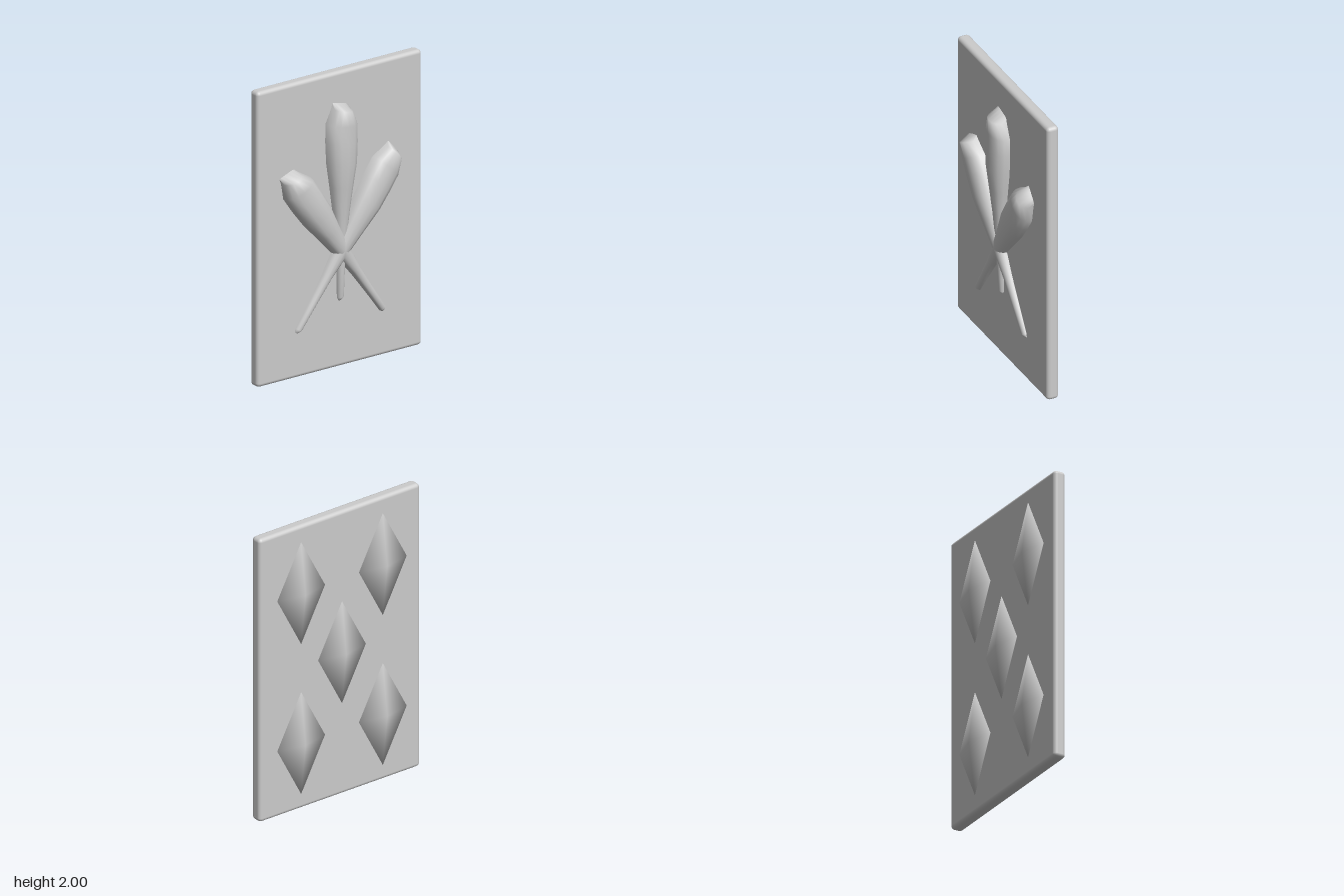
import * as THREE from 'three';
import { mergeVertices } from 'three/addons/utils/BufferGeometryUtils.js';
import { RoundedBoxGeometry } from 'three/addons/geometries/RoundedBoxGeometry.js';

const material = new THREE.MeshStandardMaterial({ color: 0xcccccc });

function addMesh(group, name, geometry, x, y, z) {
  const mesh = new THREE.Mesh(geometry, material);
  mesh.name = name;
  mesh.position.set(x, y, z);
  group.add(mesh);
  return mesh;
}

// Half-round club lofted along +y; each ring is [distance, half width, height].
function clubGeometry() {
  const rings = [
    [0, 0.014, 0.012], [0.025, 0.026, 0.034], [0.2, 0.03, 0.043], [0.4, 0.038, 0.053],
    [0.6, 0.06, 0.07], [0.78, 0.085, 0.09], [0.94, 0.11, 0.108], [1.08, 0.118, 0.108],
    [1.2, 0.117, 0.108], [1.3, 0.07, 0.106], [1.34, 0.06, 0],
  ];
  const segments = 8;
  const positions = [];
  const indices = [];
  rings.forEach(([s, w, h], i) => {
    const skew = 0.23 * (s / 1.34) ** 4; // slanted head
    for (let k = 0; k <= segments; k++) {
      const a = Math.PI * k / segments;
      const c = Math.cos(a);
      const u = -w * Math.sign(c) * Math.abs(c) ** 0.85;
      const v = h * Math.max(0, Math.sin(a)) ** 0.85;
      positions.push(u, s - skew * u, v);
      if (i < rings.length - 1 && k < segments) {
        const p = i * (segments + 1) + k;
        const q = p + segments + 1;
        indices.push(p, p + 1, q, p + 1, q + 1, q);
      }
    }
  });
  const geometry = new THREE.BufferGeometry();
  geometry.setAttribute('position', new THREE.Float32BufferAttribute(positions, 3));
  geometry.setIndex(indices);
  geometry.computeVertexNormals();
  return geometry;
}

// Shallow four-sided pyramid pointing to -z, with shared smooth normals.
function diamondGeometry() {
  const cone = new THREE.ConeGeometry(1, 1, 4);
  cone.deleteAttribute('normal');
  cone.deleteAttribute('uv');
  cone.rotateX(-Math.PI / 2).scale(0.193, 0.36, 0.046);
  const geometry = mergeVertices(cone);
  geometry.computeVertexNormals();
  return geometry;
}

export function createModel() {
  const model = new THREE.Group();
  model.name = 'cardPanel';

  // Panel with rounded edges
  addMesh(model, 'panel', new RoundedBoxGeometry(1.3, 2, 0.084, 3, 0.026), 0, 1, -0.022);

  // Three fanned clubs on the front
  const club = clubGeometry();
  addMesh(model, 'centreClub', club, 0, 0.45, 0.01);
  for (const side of [-1, 1]) {
    const name = side > 0 ? 'leftClub' : 'rightClub';
    addMesh(model, name, club, -side * 0.345, 0.305, 0.01).rotation.z = -side * 0.611;
  }

  // Five diamonds on the back
  const diamond = diamondGeometry();
  addMesh(model, 'centreDiamond', diamond, -0.007, 1.01, -0.097);
  for (const x of [-0.337, 0.323]) {
    for (const y of [0.47, 1.53]) addMesh(model, 'cornerDiamond', diamond, x, y, -0.097);
  }
  return model;
}
